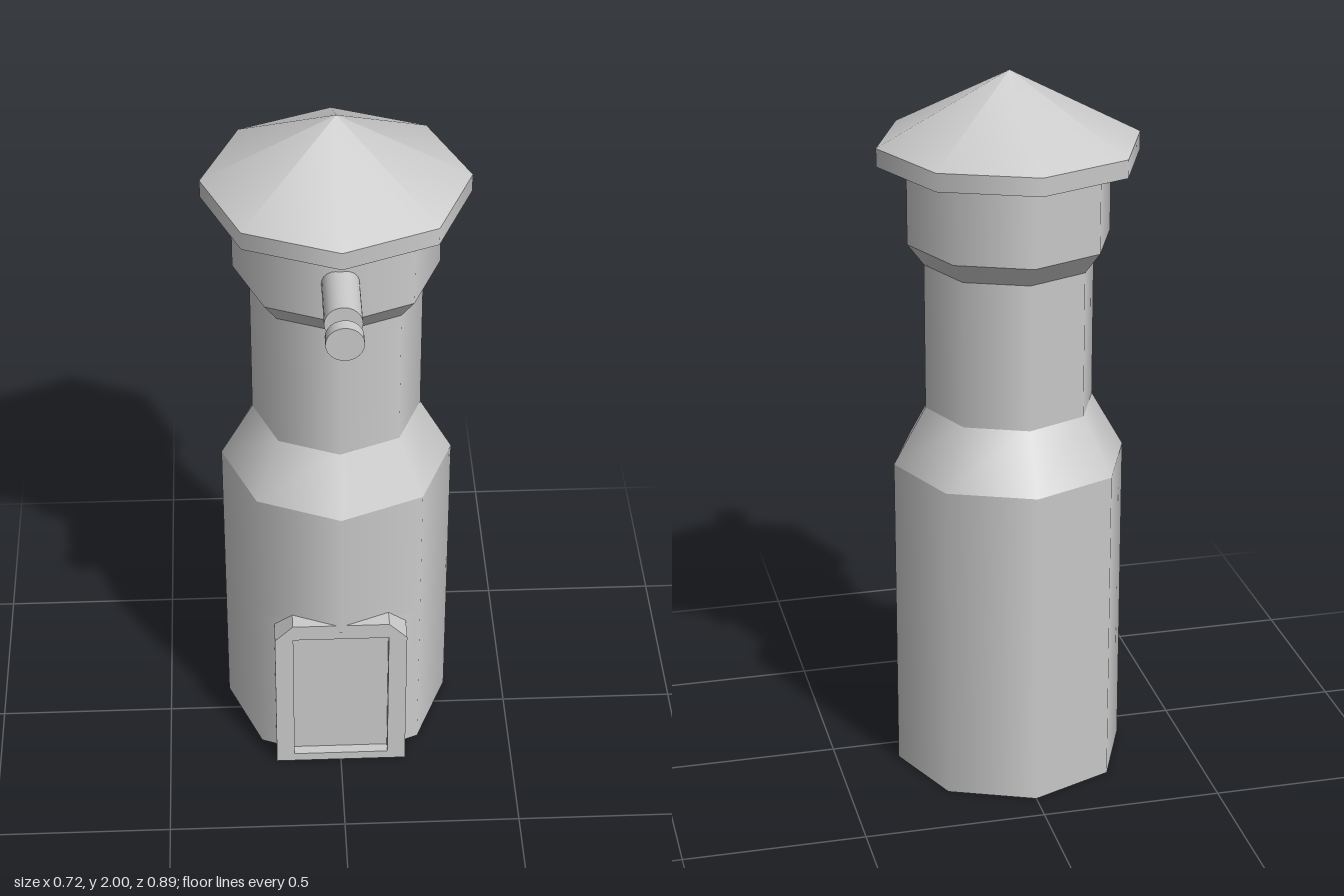
import * as THREE from 'three';

const CZ = -0.085; // depth of the tower axis
const mat = new THREE.MeshStandardMaterial({ color: 0xcccccc, side: THREE.DoubleSide });

function add(group, name, geometry, x = 0, y = 0, z = 0) {
  const mesh = new THREE.Mesh(geometry, mat);
  mesh.name = name;
  mesh.position.set(x, y, z);
  group.add(mesh);
  return mesh;
}

// Open octagonal band with corners on the x and z axes, smooth around
function band(r0, y0, r1, y1) {
  const g = new THREE.CylinderGeometry(r1, r0, y1 - y0, 8, 1, true);
  return g.translate(0, (y0 + y1) / 2, CZ);
}

// Octagonal wall that leaves a gap of the given half width at the front corner
function gappedWall(r, y0, y1, gap) {
  const ring = [[gap, r - gap * Math.tan(Math.PI / 8)]];
  for (let i = 1; i < 8; i++) ring.push([r * Math.sin(i * Math.PI / 4), r * Math.cos(i * Math.PI / 4)]);
  ring.push([-ring[0][0], ring[0][1]]);
  const pos = [], nor = [], idx = [];
  ring.forEach(([x, z], i) => {
    const l = Math.hypot(x, z);
    for (const y of [y0, y1]) {
      pos.push(x, y, z + CZ);
      nor.push(x / l, 0, z / l);
    }
    if (i) {
      const a = 2 * i - 2;
      idx.push(a, a + 2, a + 3, a, a + 3, a + 1);
    }
  });
  const g = new THREE.BufferGeometry();
  g.setAttribute('position', new THREE.Float32BufferAttribute(pos, 3));
  g.setAttribute('normal', new THREE.Float32BufferAttribute(nor, 3));
  g.setIndex(idx);
  return g;
}

export function createModel() {
  const model = new THREE.Group();
  model.name = 'tower';

  // Tower walls, from the ground up
  add(model, 'baseWall', gappedWall(0.325, 0, 0.5, 0.16));
  add(model, 'upperBaseWall', band(0.325, 0.5, 0.325, 0.91));
  add(model, 'shoulder', band(0.325, 0.91, 0.235, 1.07));
  add(model, 'neck', band(0.235, 1.07, 0.235, 1.48));
  add(model, 'collar', band(0.235, 1.48, 0.28, 1.54));
  add(model, 'head', band(0.28, 1.54, 0.28, 1.76));

  // Roof: flat underside, rim and cone
  const under = new THREE.CircleGeometry(0.36, 8).rotateX(Math.PI / 2);
  add(model, 'roofUnderside', under, 0, 1.76, CZ);
  add(model, 'roofRim', band(0.36, 1.76, 0.36, 1.81));
  const cone = new THREE.ConeGeometry(0.36, 0.19, 8, 1, true);
  add(model, 'roof', cone, 0, 1.905, CZ);

  // Door frame with chamfered top corners and a recessed panel
  const frame = new THREE.Shape([
    [-0.188, 0], [0.188, 0], [0.188, 0.472], [0.137, 0.523], [-0.137, 0.523], [-0.188, 0.472],
  ].map(([x, y]) => new THREE.Vector2(x, y)));
  frame.holes.push(new THREE.Path([
    [-0.136, 0.027], [-0.136, 0.473], [0.136, 0.473], [0.136, 0.027],
  ].map(([x, y]) => new THREE.Vector2(x, y))));
  const frameGeo = new THREE.ExtrudeGeometry(frame, { depth: 0.08, bevelEnabled: false });
  add(model, 'doorFrame', frameGeo, 0, 0, 0.155);
  add(model, 'doorPanel', new THREE.PlaneGeometry(0.272, 0.446), 0, 0.25, 0.205);

  // Pipe on the head, with a separate end disc in front of it
  const rod = (name, z0, z1) => add(model, name,
    new THREE.CylinderGeometry(0.05, 0.05, z1 - z0, 24).rotateX(Math.PI / 2), 0, 1.65, (z0 + z1) / 2);
  rod('pipe', 0.14, 0.355);
  rod('pipeEndDisc', 0.41, 0.445);

  return model;
}
